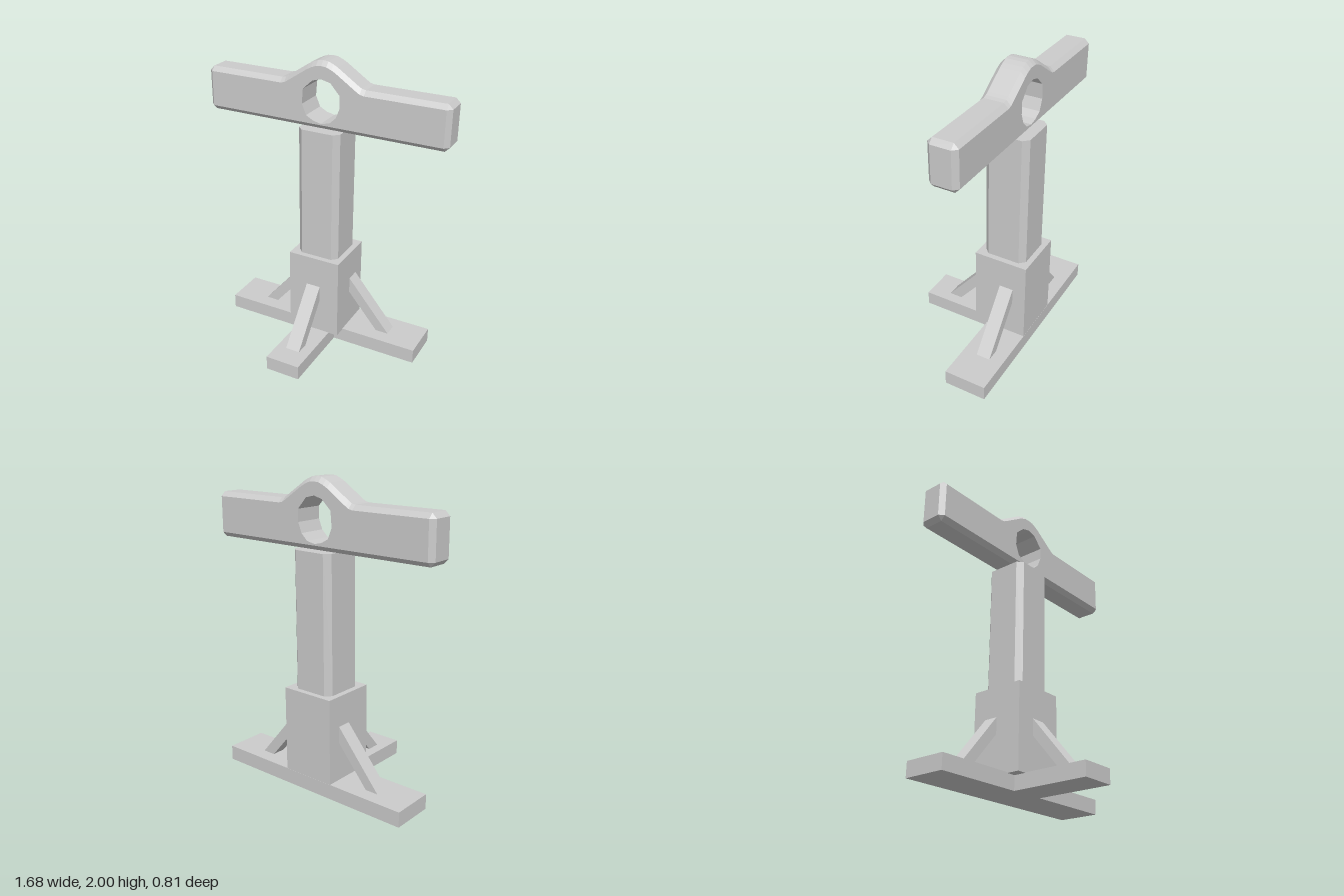
import * as THREE from 'three';

const material = new THREE.MeshStandardMaterial({ color: 0xcccccc, flatShading: true });
const AXIS_Z = -0.22;

function addMesh(group, name, geometry) {
  const mesh = new THREE.Mesh(geometry, material);
  mesh.name = name;
  group.add(mesh);
  return mesh;
}

// Box given by its limits on each axis
function addBox(group, name, [x0, x1], [y0, y1], [z0, z1]) {
  const mesh = addMesh(group, name, new THREE.BoxGeometry(x1 - x0, y1 - y0, z1 - z0));
  mesh.position.set((x0 + x1) / 2, (y0 + y1) / 2, (z0 + z1) / 2);
}

function extrude(points, depth) {
  const shape = new THREE.Shape(points.map(([x, y]) => new THREE.Vector2(x, y)));
  return new THREE.ExtrudeGeometry(shape, { depth, bevelEnabled: false });
}

// Slanted strut, leaning on a wall at x = 0 and running down along +x
function braceGeometry(reach, top, footWidth, drop, width) {
  const geometry = extrude([[0, top - drop], [reach - footWidth, 0], [reach, 0], [0, top]], width);
  return geometry.translate(0, 0, -width / 2);
}

// Chamfered bar with a central hump and an unbevelled eye
function crossbarGeometry() {
  const b = 0.03, half = 0.095;
  // half outline from the top centre to the bottom corner: [outer x, outer y, face x, face y]
  const hump = [[0, 2], [0.035, 1.997], [0.07, 1.983], [0.1, 1.967], [0.13, 1.947],
    [0.24, 1.874], [0.262, 1.861], [0.29, 1.855]];
  const side = [
    ...hump.map(([x, y]) => [x, y, x, y - b]),
    [0.81, 1.855, 0.81, 1.825], [0.84, 1.825, 0.81, 1.825],
    [0.84, 1.59, 0.81, 1.59], [0.81, 1.56, 0.81, 1.59],
  ];
  const outline = [
    ...side.map(([x, y, u, v]) => [-x, y, -u, v]),
    ...side.slice(1).reverse(),
  ];
  // eye, clockwise
  const eye = [[0, 1.888], [0.064, 1.873], [0.13, 1.8], [0.13, 1.72], [0.105, 1.655], [0.06, 1.612],
    [0, 1.6], [-0.055, 1.612], [-0.105, 1.64], [-0.135, 1.71], [-0.127, 1.81], [-0.06, 1.872]];

  const positions = [];
  const triangle = (p, q, r) => {
    const area = new THREE.Triangle(...[p, q, r].map((v) => new THREE.Vector3(...v))).getArea();
    if (area > 1e-8) positions.push(...p, ...q, ...r);
  };
  const strip = (front, back) => front.forEach((p, i) => {
    const j = (i + 1) % front.length;
    triangle(p, back[i], back[j]);
    triangle(p, back[j], front[j]);
  });
  const outer = (z) => outline.map(([x, y]) => [x, y, z]);
  const face = (z) => outline.map(([, , u, v]) => [u, v, z]);
  const hole = (z) => eye.map(([x, y]) => [x, y, z]);

  // rim: front chamfer, edge, back chamfer; then the wall of the eye
  strip(face(half), outer(half - b));
  strip(outer(half - b), outer(b - half));
  strip(outer(b - half), face(-half));
  strip(hole(half), hole(-half));

  // front and back faces
  const flat = (ring) => ring.map(([x, y]) => new THREE.Vector2(x, y));
  const faces = THREE.ShapeUtils.triangulateShape(flat(face(0)), [flat(hole(0))]);
  const front = [...face(half), ...hole(half)];
  const back = [...face(-half), ...hole(-half)];
  for (const [i, j, k] of faces) {
    triangle(front[i], front[j], front[k]);
    triangle(back[i], back[k], back[j]);
  }

  const geometry = new THREE.BufferGeometry();
  geometry.setAttribute('position', new THREE.Float32BufferAttribute(positions, 3));
  geometry.computeVertexNormals();
  return geometry;
}

export function createModel() {
  const group = new THREE.Group();

  // Feet
  addBox(group, 'crossFoot', [-0.72, 0.72], [0, 0.1], [-0.405, -0.12]);
  addBox(group, 'frontFoot', [-0.12, 0.12], [0, 0.098], [-0.12, 0.405]);

  // Socket block
  addBox(group, 'socket', [-0.185, 0.185], [0.095, 0.667], [-0.404, -0.035]);

  // Post with chamfered corners
  const h = 0.147, c = 0.11;
  const octagon = [[h, -c], [h, c], [c, h], [-c, h], [-h, c], [-h, -c], [-c, -h], [c, -h]];
  const post = addMesh(group, 'post', extrude(octagon, 0.9).rotateX(-Math.PI / 2));
  post.position.set(0, 0.66, AXIS_Z);

  // Braces: left, right and front
  const sideBrace = braceGeometry(0.305, 0.365, 0.09, 0.11, 0.095);
  const leftBrace = addMesh(group, 'leftBrace', sideBrace);
  leftBrace.position.set(0.185, 0.1, -0.265);
  const rightBrace = addMesh(group, 'rightBrace', sideBrace);
  rightBrace.position.set(-0.185, 0.1, -0.265);
  rightBrace.rotation.y = Math.PI;
  const frontBrace = addMesh(group, 'frontBrace', braceGeometry(0.295, 0.355, 0.09, 0.11, 0.1));
  frontBrace.position.set(-0.003, 0.098, -0.035);
  frontBrace.rotation.y = -Math.PI / 2;

  // Crossbar
  addMesh(group, 'crossbar', crossbarGeometry()).position.z = AXIS_Z;

  return group;
}
